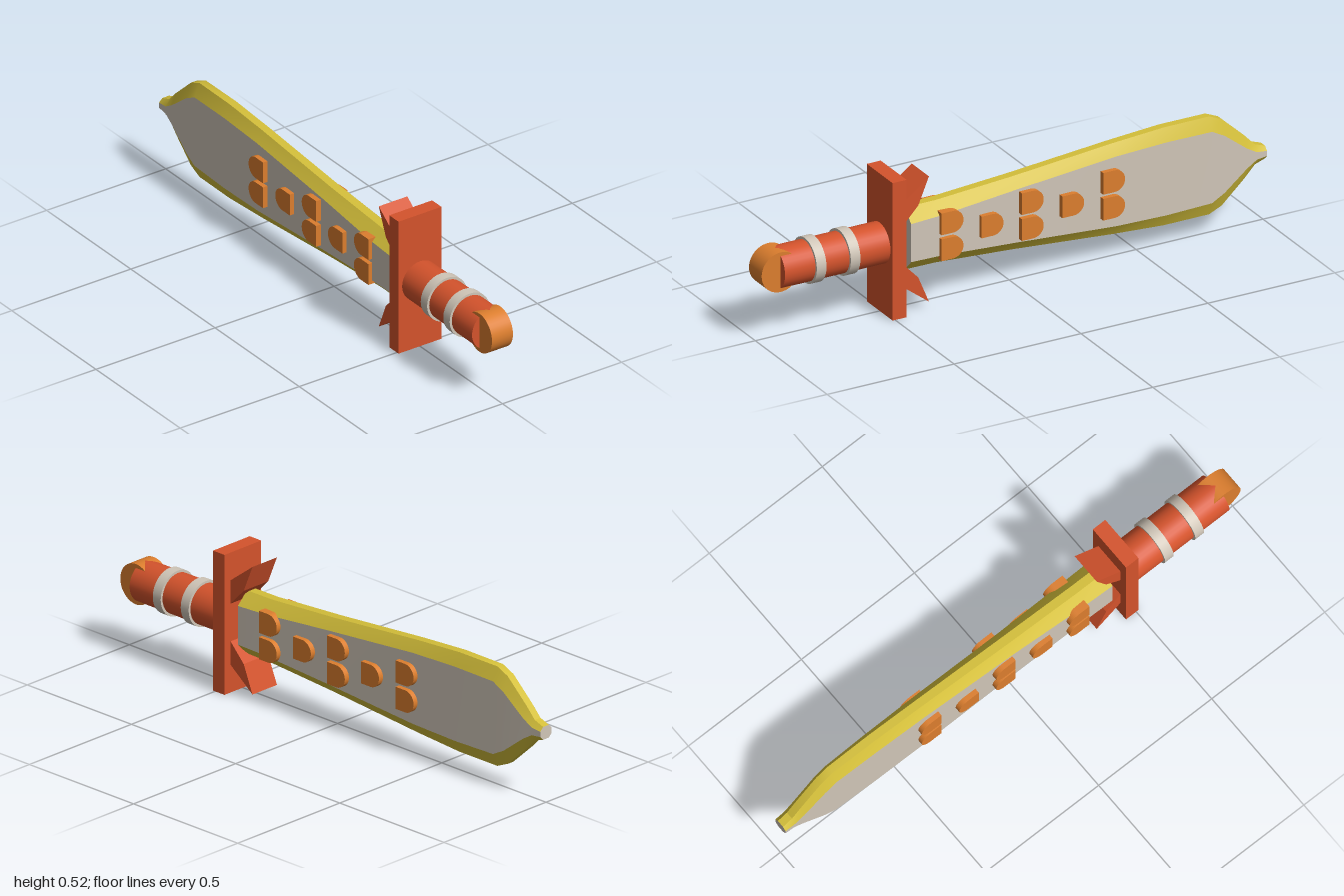
import * as THREE from 'three';
import { toCreasedNormals } from 'three/addons/utils/BufferGeometryUtils.js';

const CY = 0.26; // height of the sword's long axis, which runs along z

const paint = (name, color) => {
  const m = new THREE.MeshStandardMaterial({ color });
  m.name = name;
  return m;
};

// Blade sections: z, half height, half height of the flat side, half width, half width of the edge
const SECTIONS = [
  [0.42, 0.117, 0.072, 0.06, 0.016],
  [0.3, 0.118, 0.076, 0.057, 0.016],
  [0, 0.138, 0.1, 0.047, 0.016],
  [-0.4, 0.172, 0.132, 0.041, 0.015],
  [-0.6, 0.185, 0.138, 0.038, 0.015],
  [-0.78, 0.185, 0.135, 0.035, 0.014],
  [-0.83, 0.163, 0.108, 0.034, 0.014],
  [-0.92, 0.08, 0.038, 0.031, 0.014],
  [-0.96, 0.038, 0.014, 0.029, 0.014],
  [-1, 0.024, 0.01, 0.028, 0.014],
];

// Eight-cornered ring, counter-clockwise seen from the handle
const ring = ([z, h, b, w, t]) =>
  [[w, -b], [w, b], [t, h], [-t, h], [-w, b], [-w, -b], [-t, -h], [t, -h]]
    .map(([x, y]) => [x, CY + y, z]);

// Skin the chosen sides of the rings, with optional end caps
function loft(sides, caps) {
  const rings = SECTIONS.map(ring);
  const pos = [];
  const tri = (...pts) => pts.forEach((p) => pos.push(...p));
  for (let i = 0; i < rings.length - 1; i++) {
    for (const j of sides) {
      const k = (j + 1) % 8;
      const a = rings[i][j], b = rings[i][k], c = rings[i + 1][k], d = rings[i + 1][j];
      tri(a, d, c);
      tri(a, c, b);
    }
  }
  if (caps) {
    const first = rings[0], last = rings[rings.length - 1];
    for (let j = 1; j < 7; j++) {
      tri(first[0], first[j], first[j + 1]);
      tri(last[0], last[j + 1], last[j]);
    }
  }
  const g = new THREE.BufferGeometry();
  g.setAttribute('position', new THREE.Float32BufferAttribute(pos, 3));
  return toCreasedNormals(g, 0.45);
}

// Extrude a side outline (shape x points to -z) across the width, centred on x = 0
function extrudeAcross(shape, width) {
  const g = new THREE.ExtrudeGeometry(shape, { depth: width, bevelEnabled: false, curveSegments: 12 });
  g.translate(0, 0, -width / 2);
  return g.rotateY(Math.PI / 2);
}

export function createModel() {
  const red = paint('red', 0xd4532c);
  const orange = paint('orange', 0xdc7e2e);
  const yellow = paint('yellow', 0xd4bf3a);
  const bone = paint('bone', 0xd0c6b8);

  const root = new THREE.Group();
  root.name = 'sword';
  const add = (name, geometry, material, x = 0, y = CY, z = 0) => {
    const m = new THREE.Mesh(geometry, material);
    m.name = name;
    m.position.set(x, y, z);
    root.add(m);
    return m;
  };
  const rod = (r, len) => new THREE.CylinderGeometry(r, r, len, 32).rotateX(Math.PI / 2);

  // Handle
  add('grip', rod(0.075, 0.435), red, 0, CY, 0.7075);
  for (const z of [0.786, 0.652]) add('gripRing', rod(0.084, 0.038), bone, 0, CY, z);
  add('pommel', new THREE.CylinderGeometry(0.075, 0.075, 0.088, 40).rotateZ(Math.PI / 2),
    orange, 0, CY, 0.925);

  // Guard with two slanted fins
  add('guard', new THREE.BoxGeometry(0.18, 0.52, 0.055), red, 0, CY, 0.4825);
  for (const s of [1, -1]) {
    const fin = new THREE.Shape(
      [[0.47, 0.146], [0.455, 0.157], [0.35, 0.237], [0.392, 0.136], [0.455, 0.07], [0.47, 0.06]]
        .map(([z, y]) => new THREE.Vector2(-z, s * y)));
    add(s > 0 ? 'upperFin' : 'lowerFin', extrudeAcross(fin, 0.12), red);
  }

  // Blade: flat sides and bevelled edges
  add('bladeSides', loft([0, 4], true), bone, 0, 0, 0);
  add('bladeEdges', loft([1, 2, 3, 5, 6, 7], false), yellow, 0, 0, 0);

  // D-shaped studs, in alternating pairs and singles on both sides
  const d = new THREE.Shape();
  d.moveTo(-0.043, -0.041);
  d.lineTo(0.002, -0.041);
  d.absarc(0.002, 0, 0.041, -Math.PI / 2, Math.PI / 2, false);
  d.lineTo(-0.043, 0.041);
  d.closePath();
  const stud = extrudeAcross(d, 0.034);
  const rows = [
    [0.264, 0.073, [0.05, -0.048]],
    [0.104, 0.069, [0]],
    [-0.056, 0.066, [0.05, -0.048]],
    [-0.217, 0.063, [0]],
    [-0.38, 0.06, [0.05, -0.048]],
  ];
  for (const [z, out, heights] of rows)
    for (const y of heights)
      for (const s of [1, -1]) add('stud', stud, orange, s * (out - 0.017), CY + y, z);

  return root;
}
